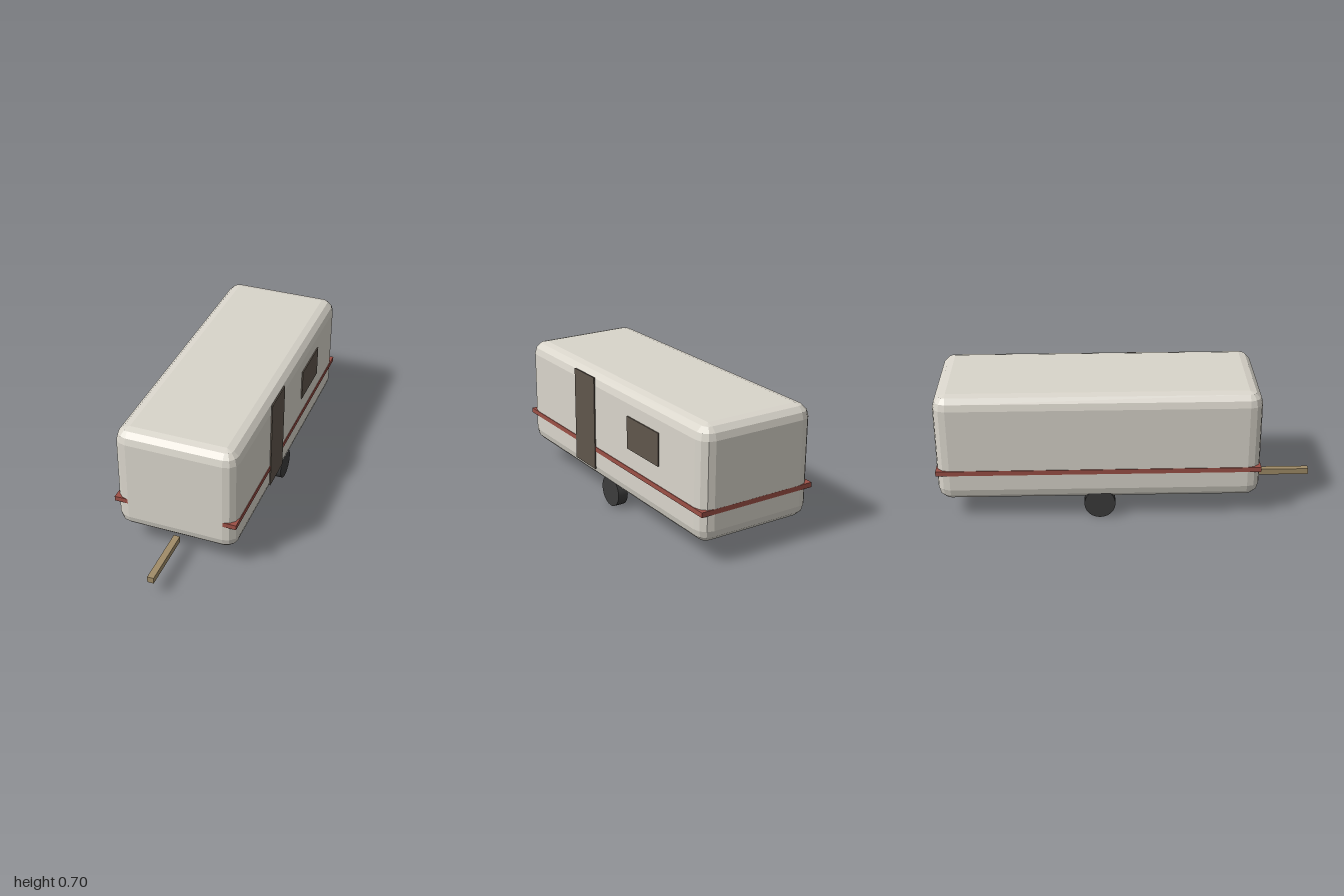
import * as THREE from 'three';

const CX = -0.0025; // centre line of the trailer

// Box with rounded edges and corners: rounded-rectangle rings stacked along y
function roundedShell(w, h, d, r, seg) {
  const rings = [];
  const ring = (y, rad) => {
    const pts = [];
    for (let q = 0; q < 4; q++) {
      const sx = q === 0 || q === 3 ? 1 : -1;
      const sz = q < 2 ? 1 : -1;
      for (let i = 0; i <= seg; i++) {
        const a = (q + i / seg) * Math.PI / 2;
        pts.push([sx * (w / 2 - r) + rad * Math.cos(a), y, sz * (d / 2 - r) + rad * Math.sin(a)]);
      }
    }
    rings.push(pts);
  };
  for (const s of [-1, 1]) {
    for (let i = 0; i <= seg; i++) {
      const a = (s < 0 ? seg - i : i) / seg * Math.PI / 2;
      ring(s * (h / 2 - r + r * Math.sin(a)), r * Math.cos(a));
    }
  }
  const n = rings[0].length, index = [];
  for (let k = 0; k < rings.length - 1; k++) {
    for (let i = 0; i < n; i++) {
      const a = k * n + i, b = k * n + (i + 1) % n;
      index.push(a, a + n, b, b, a + n, b + n);
    }
  }
  // flat floor and roof
  const top = (rings.length - 1) * n;
  for (let i = 1; i < n - 1; i++) index.push(0, i, i + 1, top, top + i + 1, top + i);
  const indexed = new THREE.BufferGeometry();
  indexed.setAttribute('position', new THREE.Float32BufferAttribute(rings.flat(2), 3));
  indexed.setIndex(index);
  const geo = indexed.toNonIndexed();
  geo.computeVertexNormals();
  return geo;
}

export function createModel() {
  const model = new THREE.Group();
  model.name = 'caravan';

  const material = (name, color) => {
    const m = new THREE.MeshStandardMaterial({ color });
    m.name = name;
    return m;
  };
  const cream = material('cream', 0xd9d5cb);
  const red = material('red', 0x9c5046);
  const brown = material('darkBrown', 0x60564c);
  const black = material('tyreBlack', 0x3c3c3c);
  const tan = material('tan', 0xa08c68);
  cream.flatShading = true;

  const add = (name, geo, mat, x, y, z) => {
    const mesh = new THREE.Mesh(geo, mat);
    mesh.name = name;
    mesh.position.set(x, y, z);
    model.add(mesh);
    return mesh;
  };
  const box = (name, w, h, d, mat, x, y, z) => add(name, new THREE.BoxGeometry(w, h, d), mat, x, y, z);

  // Rounded cabin and the belt around it
  add('body', roundedShell(0.648, 0.59, 1.689, 0.07, 3), cream, CX, 0.407, -0.155);
  box('beltStripe', 0.655, 0.026, 1.689, red, CX, 0.281, -0.1555);

  // Door and window plates on the left side
  box('door', 0.007, 0.508, 0.2, brown, 0.3245, 0.422, 0.07);
  box('window', 0.007, 0.172, 0.283, brown, 0.3245, 0.481, -0.493);

  // Pair of wheels
  for (const s of [-1, 1]) {
    const wheel = new THREE.CylinderGeometry(0.082, 0.082, 0.056, 24).rotateZ(Math.PI / 2);
    add(s > 0 ? 'leftWheel' : 'rightWheel', wheel, black, CX + s * 0.282, 0.082, -0.152);
  }

  // Tow bar
  box('towBar', 0.034, 0.033, 0.333, tan, CX, 0.0975, 0.8335);

  return model;
}
